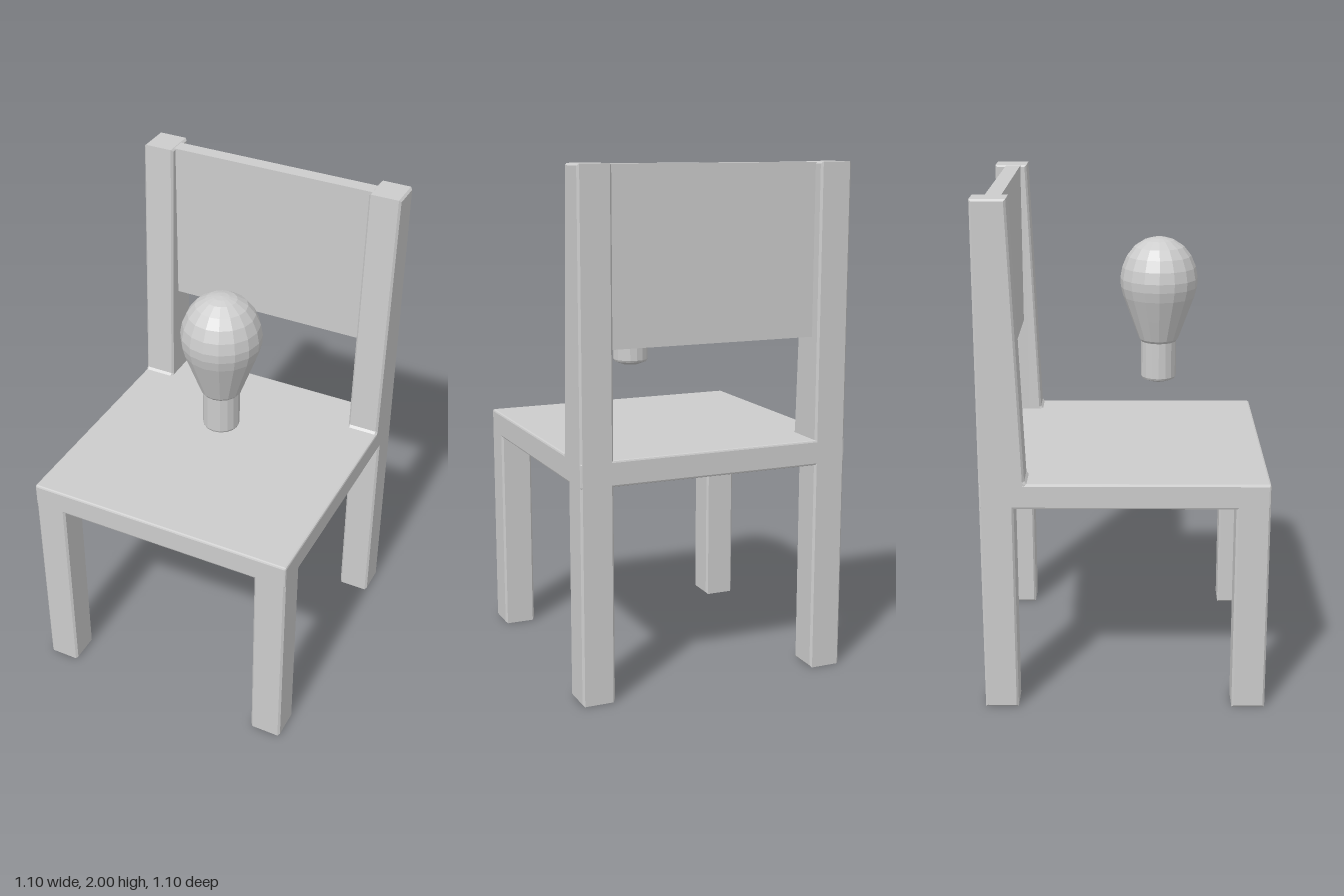
import * as THREE from 'three';
import { RoundedBoxGeometry } from 'three/addons/geometries/RoundedBoxGeometry.js';

const BEVEL = 0.008;
const HALF = 0.55;
const LEG = 0.13;

export function createModel() {
  const model = new THREE.Group();
  model.name = 'chairWithBulb';
  const grey = new THREE.MeshStandardMaterial({ color: 0xcccccc, flatShading: true });
  grey.name = 'light grey';

  const add = (name, geometry, x, y, z, parent = model) => {
    const mesh = new THREE.Mesh(geometry, grey);
    mesh.name = name;
    mesh.position.set(x, y, z);
    parent.add(mesh);
    return mesh;
  };

  // Upright cut from a [z, y] side profile, with bevelled edges, centred on x
  const upright = (profile) => {
    const shape = new THREE.Shape(profile.map(([z, y]) => new THREE.Vector2(z, y)));
    const geometry = new THREE.ExtrudeGeometry(shape, {
      depth: LEG - 2 * BEVEL, bevelEnabled: true, bevelSegments: 1,
      bevelSize: BEVEL, bevelThickness: BEVEL, bevelOffset: -BEVEL,
    });
    geometry.translate(0, 0, BEVEL - LEG / 2);
    geometry.rotateY(-Math.PI / 2);
    return geometry;
  };

  // Seat slab
  add('seat', new RoundedBoxGeometry(2 * HALF, 0.1, 2 * HALF, 1, BEVEL), 0, 0.885, 0);

  // Front legs, and rear legs that rise into tapering back posts
  const frontProfile = [[0.42, 0], [HALF, 0], [HALF, 0.925], [0.42, 0.925]];
  const rearProfile = [
    [-HALF, 0], [-0.42, 0], [-0.42, 0.9], [-0.365, 0.93],
    [-0.378, 0.945], [-0.42, 2], [-HALF, 2],
  ];
  for (const [side, sign] of [['left', 1], ['right', -1]]) {
    const x = sign * (HALF - LEG / 2);
    add(`${side}FrontLeg`, upright(frontProfile), x, 0, 0);
    add(`${side}RearPost`, upright(rearProfile), x, 0, 0);
  }

  // Back panel between the posts
  add('backPanel', new THREE.BoxGeometry(0.86, 0.663, 0.06), 0, 1.6665, -0.475);

  // Bulb floating above the seat: [radius, height] from base to crown
  const bulbProfile = [
    [0, 1.164], [0.035, 1.167], [0.068, 1.18], [0.072, 1.188], [0.072, 1.335],
    [0.08, 1.345], [0.113, 1.435], [0.144, 1.52], [0.154, 1.56], [0.156, 1.595],
    [0.148, 1.64], [0.129, 1.685], [0.1, 1.722], [0.06, 1.748], [0.03, 1.757], [0, 1.76],
  ].map(([r, y]) => new THREE.Vector2(r, y));
  add('bulb', new THREE.LatheGeometry(bulbProfile, 16), 0.075, 0, 0.133);

  return model;
}
